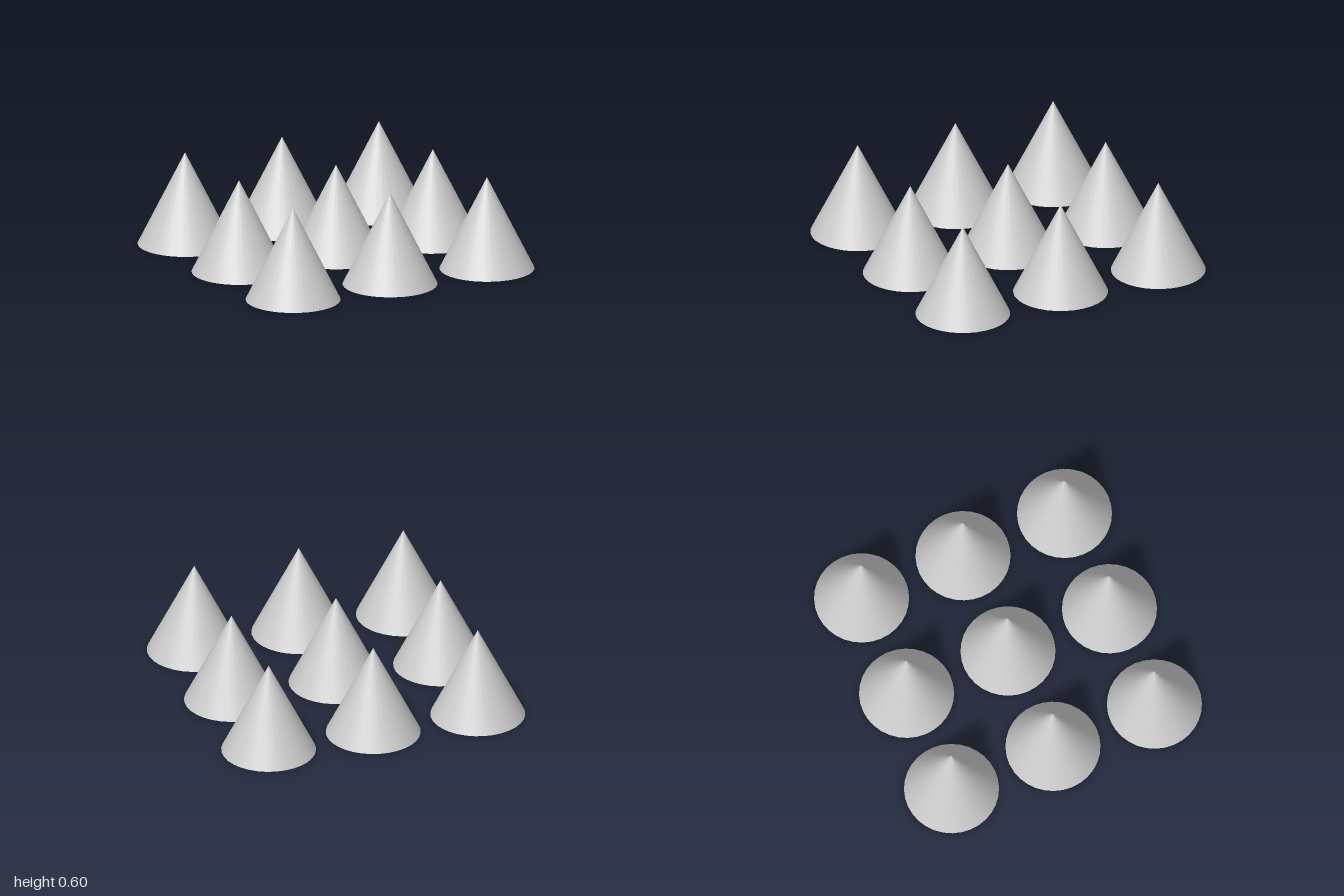
import * as THREE from 'three';

// Three by three grid of identical upright cones
export function createModel() {
  const model = new THREE.Group();
  model.name = 'coneGrid';

  const radius = 0.3, height = 0.6, spacing = 0.7;
  const geometry = new THREE.ConeGeometry(radius, height, 32);
  geometry.translate(0, height / 2, 0); // base rests on the ground
  const material = new THREE.MeshStandardMaterial({ color: 0xcccccc });

  ['back', 'middle', 'front'].forEach((row, r) => {
    ['Right', 'Centre', 'Left'].forEach((column, c) => {
      const cone = new THREE.Mesh(geometry, material);
      cone.name = `${row}${column}Cone`;
      cone.position.set((c - 1) * spacing, 0, (r - 1) * spacing);
      model.add(cone);
    });
  });

  return model;
}
